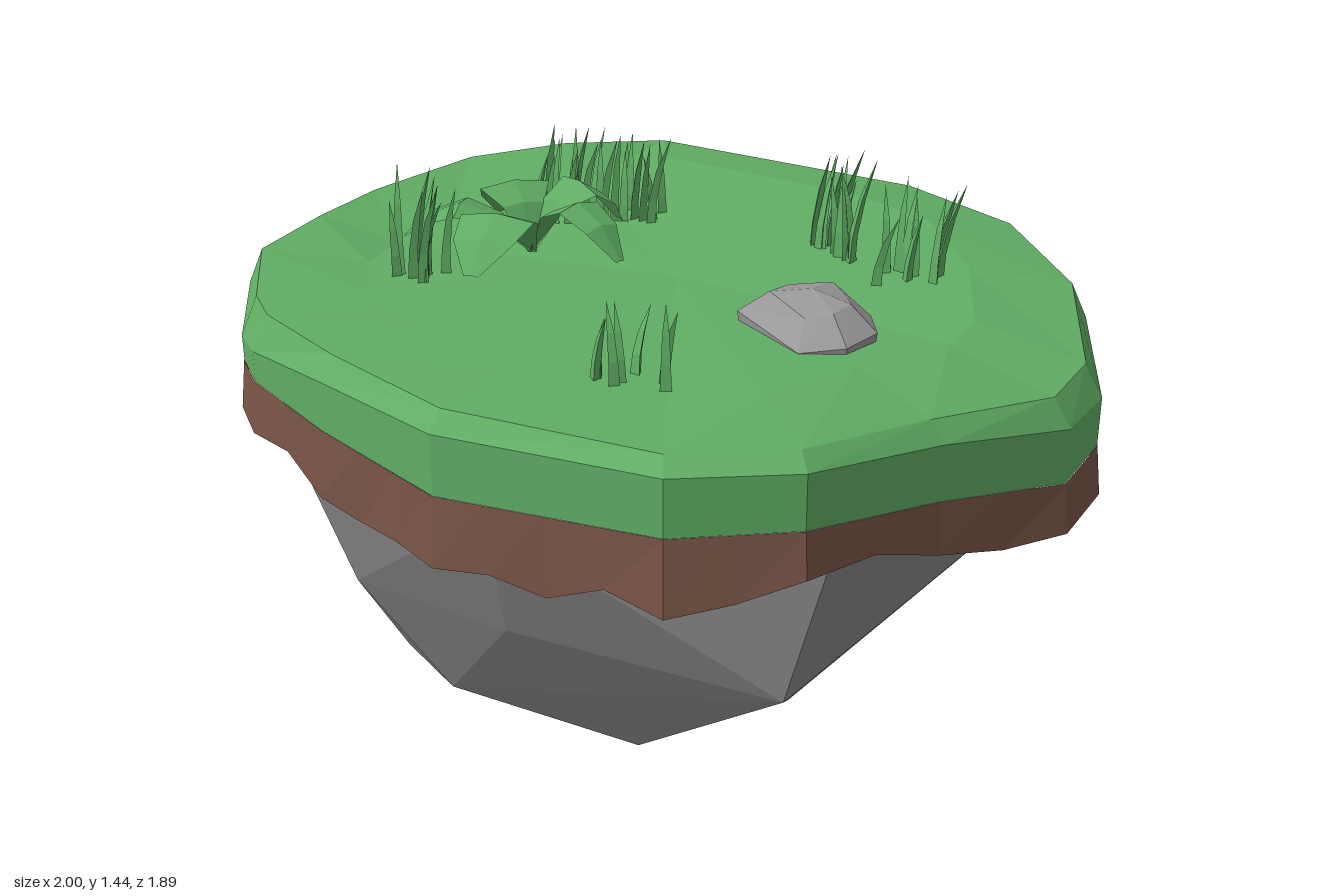
import * as THREE from 'three';
import { ConvexGeometry } from 'three/addons/geometries/ConvexGeometry.js';

const mat = (name, color, side = THREE.FrontSide) =>
  Object.assign(new THREE.MeshStandardMaterial({ color, side, flatShading: true }), { name });
const grass = mat('grass green', 0x60ae64);
const leafGreen = mat('leaf green', 0x5fac63, THREE.DoubleSide);
const soil = mat('soil brown', 0x7a5546, THREE.DoubleSide);
const cliff = mat('cliff grey', 0x888888);
const stone = mat('stone grey', 0x9a979a);

// Small seeded random
let seed = 7;
const rnd = (a = 0, b = 1) => {
  seed = (seed * 16807) % 2147483647;
  return a + (b - a) * (seed / 2147483647);
};

// Skin a stack of rings, top first; rings run clockwise seen from above.
// A ring with one point closes the stack.
function loft(rings, closed = true) {
  const pos = [];
  const tri = (...pts) => pts.forEach((p) => pos.push(...p));
  for (let k = 0; k < rings.length - 1; k++) {
    const A = rings[k], B = rings[k + 1];
    const n = Math.max(A.length, B.length);
    for (let i = 0; i < (closed ? n : n - 1); i++) {
      const j = (i + 1) % n;
      const a = A[i % A.length], a2 = A[j % A.length];
      const b = B[i % B.length], b2 = B[j % B.length];
      if (A.length > 1) tri(a, a2, b2);
      if (B.length > 1) tri(a, b2, b);
    }
  }
  const g = new THREE.BufferGeometry();
  g.setAttribute('position', new THREE.Float32BufferAttribute(pos, 3));
  g.computeVertexNormals();
  return g;
}

function add(parent, name, geometry, material) {
  const m = new THREE.Mesh(geometry, material);
  m.name = name;
  parent.add(m);
  return m;
}

// Island outline: x, z, rim height, edge height, turf bottom, soil bottom
const outline = [
  [-0.48, -0.95, 1.22, 1.17, 1.07, 0.92], [0.31, -0.82, 1.22, 1.18, 1.05, 0.92],
  [0.62, -0.71, 1.19, 1.14, 1.04, 0.90], [0.87, -0.36, 1.18, 1.10, 1.02, 0.88],
  [1.00, 0.02, 1.14, 1.07, 0.96, 0.85], [0.98, 0.21, 1.13, 1.07, 0.95, 0.84],
  [0.80, 0.50, 1.16, 1.12, 1.00, 0.89], [0.64, 0.81, 1.19, 1.16, 1.045, 0.95],
  [0.41, 0.94, 1.19, 1.16, 1.04, 0.88], [-0.09, 0.93, 1.19, 1.15, 1.02, 0.87],
  [-0.45, 0.78, 1.19, 1.14, 1.03, 0.88], [-0.72, 0.64, 1.19, 1.11, 1.04, 0.92],
  [-0.80, 0.57, 1.20, 1.11, 1.05, 0.94], [-0.95, 0.34, 1.22, 1.14, 1.11, 0.95],
  [-1.00, 0.09, 1.23, 1.15, 1.10, 0.96], [-0.93, -0.13, 1.24, 1.19, 1.10, 0.95],
  [-0.84, -0.47, 1.25, 1.21, 1.08, 0.94], [-0.65, -0.67, 1.26, 1.22, 1.07, 0.93],
];
// The turf stays inside the soil where the soil juts out on one side
const ringAt = (scale, col, minX) => outline.map((p) => [Math.max(p[0] * scale, minX), p[col], p[1] * scale]);

function buildTurf(parent) {
  const middle = outline.map(([x, z], i) =>
    [x * 0.7, 1.19 + Math.max(0, -z * 0.06) + 0.006 * Math.sin(i * 2.1), z * 0.7]);
  add(parent, 'turf', loft([
    [[0, 1.185, 0]], middle, ringAt(0.945, 2, -0.9), ringAt(0.985, 3, -0.93), ringAt(0.985, 4, -0.95),
    [[0, 1.04, 0]],
  ]), grass);
}

// Soil band with a ragged lower edge
function buildSoil(parent) {
  const top = [], bottom = [];
  const ragged = [0, 0.03, -0.015, 0.01, 0.025, 0.005, -0.01];
  outline.forEach((p, i) => {
    const q = outline[(i + 1) % outline.length];
    const steps = Math.max(1, Math.round(Math.hypot(q[0] - p[0], q[1] - p[1]) / 0.14));
    for (let s = 0; s < steps; s++) {
      const v = p.map((c, k) => c + (q[k] - c) * (s / steps));
      top.push([Math.max(v[0] * 0.986, -0.951), v[4], v[1] * 0.986]);
      const out = s ? rnd(0.985, 1) : 1;
      bottom.push([v[0] * out, v[5] + (s ? ragged[bottom.length % 7] : 0), v[1] * out]);
    }
  });
  add(parent, 'soilBand', loft([top, bottom]), soil);
}

// Tapering rock below: corners from the shoulder down to the tip
function buildCliff(parent) {
  const shoulder = [[-0.05, 0.93, 0.8], [0.65, 0.96, 0.69], [0.9, 0.9, 0.2], [0.82, 0.85, -0.26],
    [0.45, 0.82, -0.7], [-0.2, 0.9, -0.87], [-0.56, 0.93, -0.54], [-0.85, 0.95, -0.15],
    [-0.88, 0.95, 0.25], [-0.68, 0.95, 0.6]];
  const belly = [[-0.08, 0.6, 0.68], [0.55, 0.59, 0.68], [-0.25, 0.45, -0.71],
    [-0.77, 0.65, 0.02], [-0.78, 0.65, 0.32], [-0.52, 0.57, 0.58]];
  const foot = [[-0.33, 0.3, 0.51], [0.13, 0.25, 0.48], [0.37, 0.26, 0.18], [0.31, 0.25, -0.25],
    [0, 0.25, -0.41], [-0.28, 0.25, -0.48], [-0.5, 0.17, 0.07], [-0.57, 0.25, 0.32], [-0.08, 0, 0.07]];
  const neck = shoulder.map(([x, , z]) => [x * 0.9, 1.05, z * 0.9]);
  const corners = [...neck, ...shoulder, ...belly, ...foot].map((p) => new THREE.Vector3(...p));
  add(parent, 'cliff', new ConvexGeometry(corners), cliff);
}

// Faceted stone lying on the turf
function buildStone(parent) {
  const base = [[0.26, 0.07], [0.41, 0.01], [0.49, 0.07], [0.55, 0.2], [0.52, 0.3], [0.43, 0.34], [0.24, 0.21]];
  const shrink = (s, y) => base.map(([x, z], i) =>
    [0.4 + (x - 0.4) * s, y + 0.01 * Math.sin(i * 2.3), 0.18 + (z - 0.18) * s]);
  add(parent, 'stone', loft([[[0.39, 1.266, 0.16]], shrink(0.58, 1.25), shrink(1, 1.2), shrink(0.95, 1.15)]), stone);
}

// Three-sided blade that bends as it rises
function bladeGeometry(height, width, lean, heading) {
  const section = (t) => [0, 1, 2].map((i) => {
    const a = heading + (i * Math.PI * 2) / 3, r = (width / 2) * (1 - t * 0.6);
    const d = lean * t * t;
    return [Math.cos(a) * r + Math.cos(heading) * d, height * t, Math.sin(a) * r + Math.sin(heading) * d];
  });
  const tip = [[Math.cos(heading) * lean, height, Math.sin(heading) * lean]];
  return loft([tip, section(0.66), section(0.33), section(0)]);
}

// Tufts: x, z, spread in x, spread in z, blades, tallest blade
const tufts = [
  [-0.38, -0.22, 0.09, 0.08, 14, 0.26], [-0.24, -0.29, 0.06, 0.05, 9, 0.25],
  [0.29, -0.25, 0.07, 0.06, 12, 0.26], [0.49, -0.14, 0.07, 0.05, 10, 0.24],
  [-0.53, 0.23, 0.06, 0.06, 10, 0.26], [0.19, 0.59, 0.08, 0.05, 7, 0.18],
];
function buildTufts(parent) {
  for (const [x, z, sx, sz, count, tall] of tufts) {
    const tuft = new THREE.Group();
    tuft.name = 'grassTuft';
    tuft.position.set(x, 1.18, z);
    for (let i = 0; i < count; i++) {
      const blade = add(tuft, 'grassBlade',
        bladeGeometry(tall * rnd(0.68, 1), 0.028, rnd(0.02, 0.06), rnd(-2.6, 0.3)), grass);
      blade.position.set(rnd(-sx, sx), 0, rnd(-sz, sz));
    }
    parent.add(tuft);
  }
}

// Broad leaf, lightly folded along its middle, arching outwards
function leafGeometry(length, width, rise) {
  const rows = [[0, 0.12, 0], [0.25, 0.6, 0.75], [0.55, 1, 1], [0.8, 0.8, 0.75], [1, 0.2, 0.3]];
  return loft(rows.map(([t, w, h]) => [-1, 0, 1].map((s) =>
    [s * w * width / 2, h * rise + (s ? 0 : 0.012 * w), t * length])), false);
}
function buildPlant(parent) {
  const plant = new THREE.Group();
  plant.name = 'leafyPlant';
  plant.position.set(-0.37, 1.19, 0.0);
  // heading, length, width, rise
  const leaves = [[0.06, 0.31, 0.18, 0.13], [1.25, 0.29, 0.12, 0.14], [-1.25, 0.3, 0.16, 0.1],
    [-2.3, 0.2, 0.17, 0.13], [2.5, 0.23, 0.18, 0.14]];
  for (const [heading, length, width, rise] of leaves)
    add(plant, 'leaf', leafGeometry(length, width, rise), leafGreen).rotation.y = heading;
  parent.add(plant);
}

export function createModel() {
  const island = new THREE.Group();
  island.name = 'floatingIsland';
  [buildTurf, buildSoil, buildCliff, buildStone, buildTufts, buildPlant].forEach((build) => build(island));
  return island;
}
